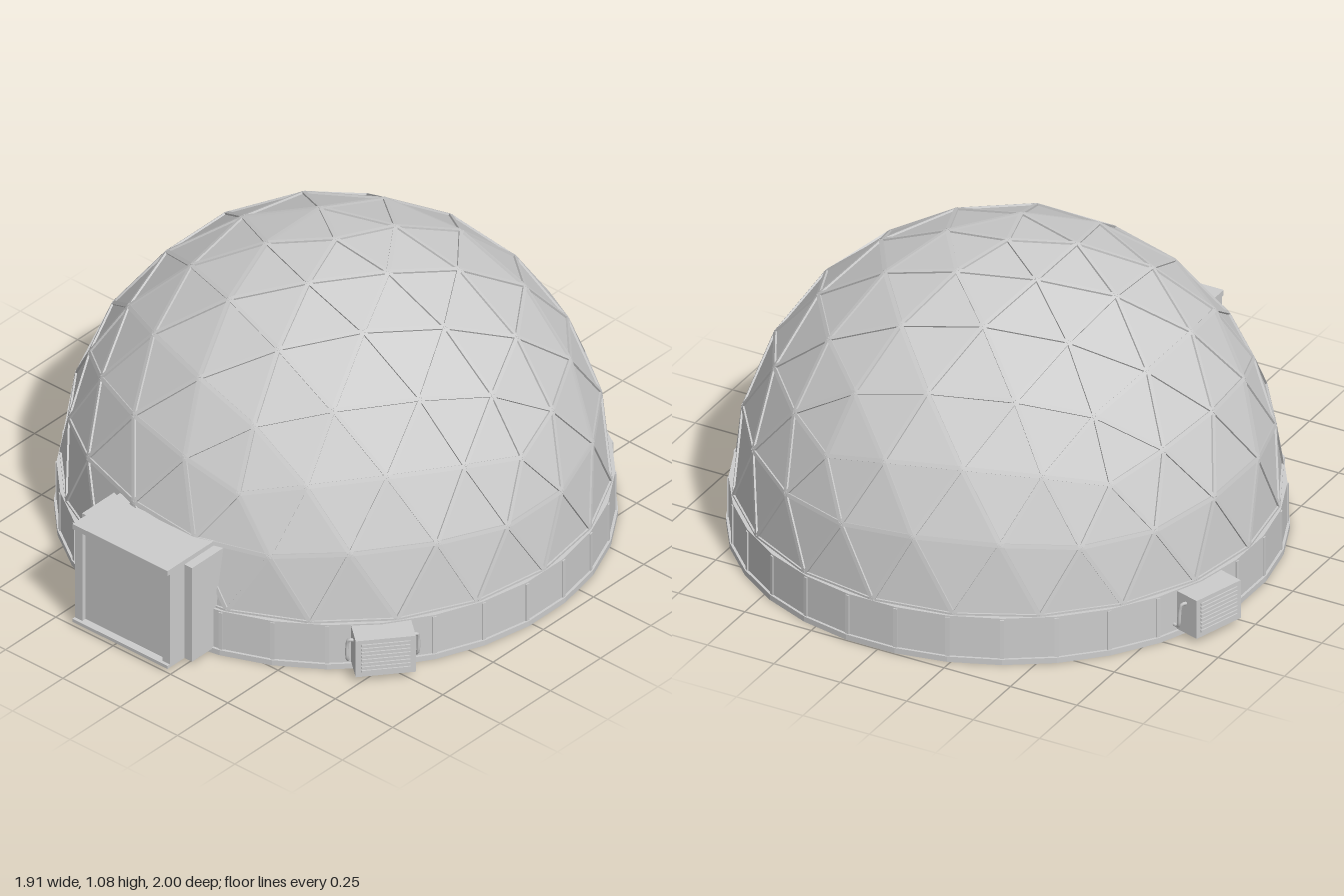
import * as THREE from 'three';
import { mergeGeometries } from 'three/addons/utils/BufferGeometryUtils.js';

const CX = 0.03, CZ = -0.075;      // dome axis
const R = 0.905, BASE_Y = 0.17;    // dome radius and springing height
const SIDES = 32;                  // panels in the base wall

const lightGrey = new THREE.MeshStandardMaterial({ color: 0xcccccc });
lightGrey.name = 'lightGrey';

function mesh(name, geometry, parent) {
  const m = new THREE.Mesh(geometry, lightGrey);
  m.name = name;
  parent.add(m);
  return m;
}

// Box given by its minimum and maximum corners
function boxGeo(x0, x1, y0, y1, z0, z1) {
  return new THREE.BoxGeometry(x1 - x0, y1 - y0, z1 - z0)
    .translate((x0 + x1) / 2, (y0 + y1) / 2, (z0 + z1) / 2);
}

// Upper half of a four-frequency icosahedral sphere, one vertex on top
function domeTriangles() {
  const pos = new THREE.IcosahedronGeometry(R, 3)
    .rotateZ(-Math.atan(2 / (1 + Math.sqrt(5)))).getAttribute('position');
  const tris = [];
  for (let i = 0; i < pos.count; i += 3) {
    const t = [0, 1, 2].map(k => new THREE.Vector3().fromBufferAttribute(pos, i + k));
    if (t[0].y + t[1].y + t[2].y > 0.01) tris.push(t);
  }
  return tris;
}

// A thin bar laid along an edge, facing away from the dome centre
function strutGeo(a, b) {
  const mid = a.clone().add(b).multiplyScalar(0.5);
  const along = b.clone().sub(a);
  const length = along.length();
  along.normalize();
  const out = mid.clone().normalize();
  const side = along.clone().cross(out);
  const m = new THREE.Matrix4().makeBasis(along, out, side).setPosition(mid);
  return new THREE.BoxGeometry(length, 0.012, 0.014).applyMatrix4(m);
}

function buildDome(parent) {
  const dome = new THREE.Group();
  dome.name = 'dome';
  dome.position.set(CX, BASE_Y, CZ);
  parent.add(dome);
  const tris = domeTriangles();

  const panels = new THREE.BufferGeometry().setFromPoints(tris.flat());
  panels.computeVertexNormals();
  mesh('domePanels', panels, dome);

  const seen = new Set(), struts = [];
  const key = v => v.toArray().map(n => Math.round(n * 1000) + 0).join();
  for (const t of tris) {
    for (let k = 0; k < 3; k++) {
      const a = t[k], b = t[(k + 1) % 3];
      const id = [key(a), key(b)].sort().join('|');
      if (seen.has(id)) continue;
      seen.add(id);
      struts.push(strutGeo(a, b));
    }
  }
  mesh('domeStruts', mergeGeometries(struts), dome);
}

function buildBase(parent) {
  const base = new THREE.Group();
  base.name = 'base';
  base.position.set(CX, 0, CZ);
  parent.add(base);
  const step = Math.PI * 2 / SIDES;

  // Faceted drum with flat normals
  const drum = (r, y0, y1) => {
    const g = new THREE.CylinderGeometry(r, r, y1 - y0, SIDES, 1, false, step / 2)
      .translate(0, (y0 + y1) / 2, 0).toNonIndexed();
    g.computeVertexNormals();
    return g;
  };
  mesh('floorSlab', drum(0.926, 0, 0.02), base);
  mesh('baseWall', drum(0.917, 0.02, BASE_Y), base);

  // Posts covering the joints of the wall panels
  const posts = [];
  for (let i = 0; i < SIDES; i++) {
    posts.push(boxGeo(-0.007, 0.007, 0.02, BASE_Y - 0.005, 0.9, 0.921)
      .rotateY((i + 0.5) * step));
  }
  mesh('wallPosts', mergeGeometries(posts), base);
}

function buildEntrance(parent) {
  const entrance = new THREE.Group();
  entrance.name = 'entrance';
  entrance.position.x = CX;
  parent.add(entrance);
  mesh('porch', boxGeo(-0.207, 0.207, 0.015, 0.405, 0.68, 0.965), entrance);
  mesh('door', boxGeo(-0.175, 0.175, 0.02, 0.385, 0.96, 0.972), entrance);
  mesh('lintel', boxGeo(-0.207, 0.207, 0.385, 0.405, 0.96, 1.0), entrance);
  mesh('threshold', boxGeo(-0.207, 0.207, 0.015, 0.027, 0.96, 1.0), entrance);
  for (const s of [-1, 1]) {
    const jamb = mesh('doorJamb', boxGeo(-0.016, 0.016, 0.02, 0.39, 0.96, 0.988), entrance);
    jamb.position.x = s * 0.191;
    const wing = mesh('sidePilaster', boxGeo(-0.02, 0.02, 0.015, 0.388, 0.7, 0.915), entrance);
    wing.position.x = s * 0.22;
  }
}

// Ventilation unit on the wall, facing outward along (dx, dz)
function buildVent(name, dx, dz, parent) {
  const unit = new THREE.Group();
  unit.name = name;
  unit.position.set(CX, 0, CZ);
  unit.rotation.y = Math.atan2(dx, dz);
  parent.add(unit);
  mesh('ventCase', boxGeo(-0.1, 0.1, 0.022, 0.165, 0.85, 1.0), unit);
  const slats = [];
  for (let i = 0; i < 8; i++) {
    const y = 0.04 + i * 0.0145;
    slats.push(boxGeo(-0.082, 0.082, y, y + 0.008, 0.998, 1.005));
  }
  mesh('ventSlats', mergeGeometries(slats), unit);

  // Bent pipes on both flanks
  for (const s of [-1, 1]) {
    const path = new THREE.CatmullRomCurve3([
      [0.095, 0.135, 0.95], [0.114, 0.135, 0.945], [0.118, 0.115, 0.94],
      [0.118, 0.06, 0.935], [0.114, 0.045, 0.925], [0.112, 0.045, 0.9],
    ].map(([x, y, z]) => new THREE.Vector3(s * x, y, z)));
    mesh('ventPipe', new THREE.TubeGeometry(path, 20, 0.006, 8), unit);
  }
}

export function createModel() {
  const model = new THREE.Group();
  model.name = 'geodesicDome';
  buildDome(model);
  buildBase(model);
  buildEntrance(model);
  buildVent('frontVent', Math.cos(0.687), Math.sin(0.687), model);
  buildVent('sideVent', -Math.cos(0.295), -Math.sin(0.295), model);
  return model;
}
